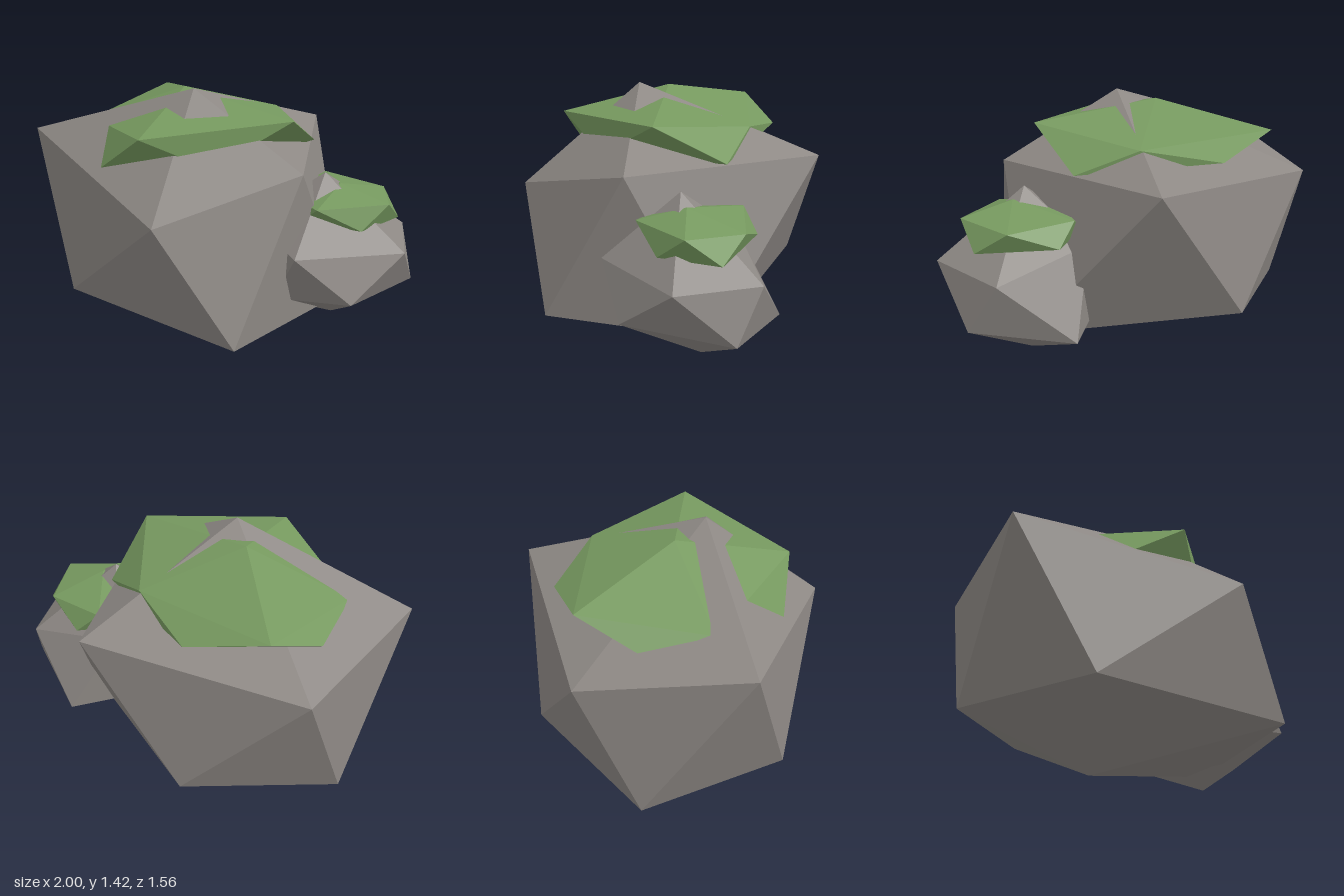
import * as THREE from 'three';

// Faceted boulder: top point, upper ring of 5, lower ring of 5 (each set between two
// upper points), bottom point. Rings run counterclockwise seen from above.
function facetedBlob(top, upper, lower, bottom) {
  const points = [];
  for (let i = 0; i < 5; i++) {
    const j = (i + 1) % 5;
    points.push(
      top, upper[i], upper[j],
      upper[i], lower[i], upper[j],
      lower[i], lower[j], upper[j],
      bottom, lower[j], lower[i],
    );
  }
  const geometry = new THREE.BufferGeometry();
  geometry.setAttribute('position', new THREE.Float32BufferAttribute(points.flat(), 3));
  geometry.computeVertexNormals(); // unshared corners give flat facets
  return geometry;
}

export function createModel() {
  const stone = new THREE.MeshStandardMaterial({ color: 0x8d8884 });
  stone.name = 'stone grey';
  const moss = new THREE.MeshStandardMaterial({ color: 0x76995f });
  moss.name = 'moss green';

  const group = new THREE.Group();
  group.name = 'mossyRocks';
  const add = (name, material, ...shape) => {
    const mesh = new THREE.Mesh(facetedBlob(...shape), material);
    mesh.name = name;
    group.add(mesh);
  };

  // Main boulder
  add('largeRock', stone,
    [-0.08, 1.42, 0.19],
    [[-0.96, 1.12, 0.52], [0.165, 0.9, 0.78], [0.575, 1.085, 0.14], [0.04, 1.09, -0.78], [-0.99, 1.0, -0.3]],
    [[-0.57, 0.3, 0.67], [0.51, 0.285, 0.59], [0.58, 0.265, -0.3], [-0.48, 0.37, -0.635], [-1.0, 0.29, 0.0]],
    [-0.37, 0, 0.17]);

  // Moss draped over the main boulder
  add('largeMoss', moss,
    [-0.26, 1.38, 0.06],
    [[-0.73, 1.175, 0.31], [-0.065, 1.25, 0.615], [0.43, 1.3, 0.025], [0.01, 1.22, -0.415], [-0.76, 1.25, -0.33]],
    [[-0.35, 1.045, 0.61], [0.17, 1.08, 0.35], [0.325, 1.1, -0.33], [-0.395, 1.15, -0.52], [-0.83, 1.12, -0.03]],
    [-0.2, 1.0, 0.0]);

  // Smaller boulder leaning against its side
  add('smallRock', stone,
    [0.53, 1.015, -0.13],
    [[0.22, 0.75, 0.08], [0.615, 0.68, 0.25], [0.995, 0.68, -0.165], [0.775, 0.66, -0.555], [0.27, 0.75, -0.38]],
    [[0.45, 0.39, 0.19], [0.865, 0.455, 0.11], [0.905, 0.4, -0.45], [0.405, 0.34, -0.625], [0.15, 0.36, -0.2]],
    [0.54, 0.16, -0.24]);

  // Moss on the smaller boulder
  add('smallMoss', moss,
    [0.6, 0.96, -0.17],
    [[0.33, 0.88, -0.05], [0.62, 0.89, 0.075], [0.87, 0.9, -0.2], [0.695, 0.88, -0.46], [0.35, 0.9, -0.42]],
    [[0.5, 0.79, 0.04], [0.8, 0.78, -0.06], [0.84, 0.77, -0.37], [0.45, 0.79, -0.5], [0.25, 0.79, -0.22]],
    [0.57, 0.72, -0.2]);

  return group;
}
